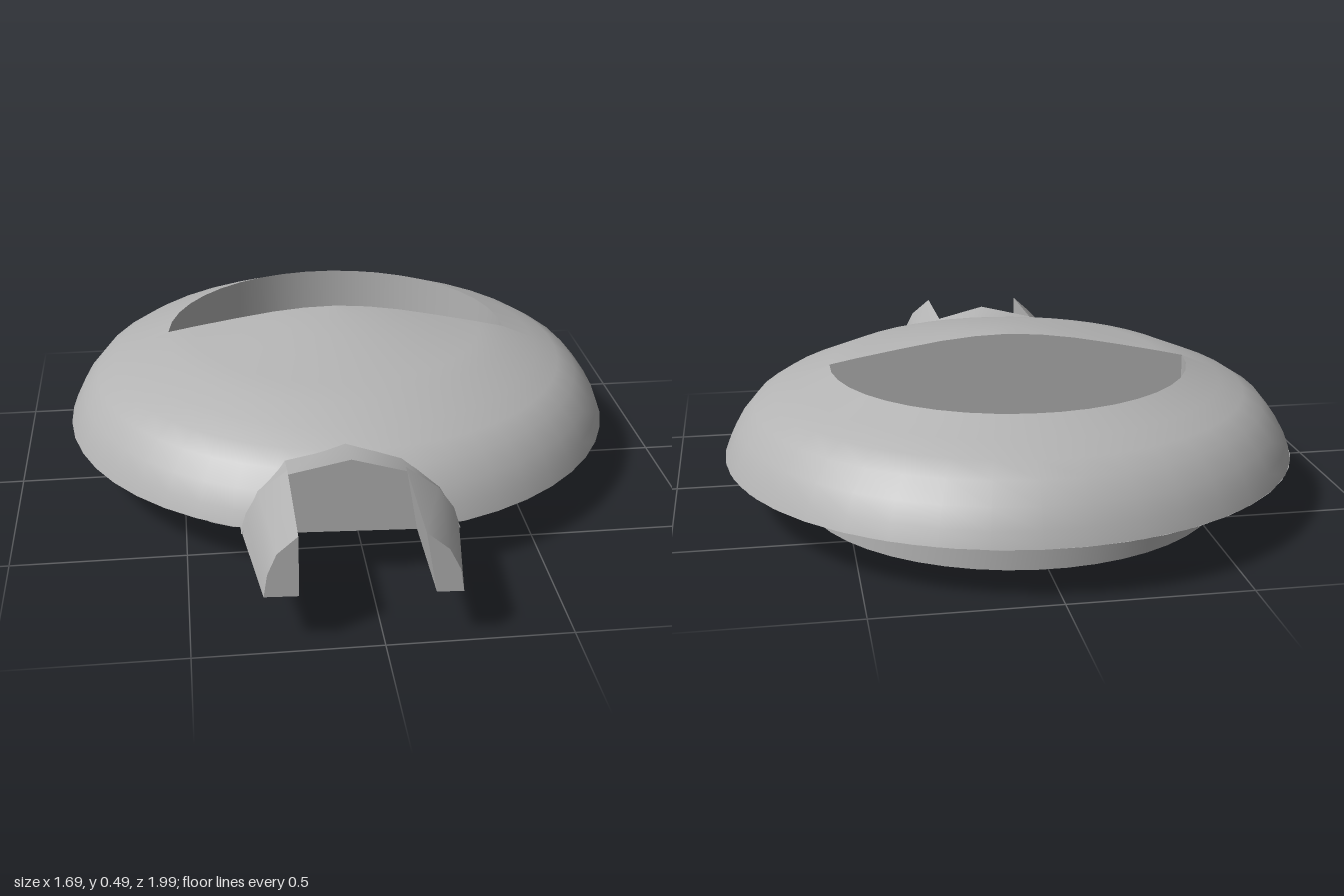
import * as THREE from 'three';
import { toCreasedNormals } from 'three/addons/utils/BufferGeometryUtils.js';

// Limit how far a geometry reaches forward, leaving a flat front
function clampFront(geo, limit) {
  const p = geo.attributes.position;
  for (let i = 0; i < p.count; i++) p.setZ(i, Math.min(p.getZ(i), limit));
  return geo;
}

// Closed solid between a back ring and a front ring (counter-clockwise from the front)
function loft(back, front) {
  const n = back.length, pos = [];
  const tri = (a, b, c) => pos.push(...a, ...b, ...c);
  for (let i = 0; i < n; i++) {
    const j = (i + 1) % n;
    tri(back[i], back[j], front[j]);
    tri(back[i], front[j], front[i]);
  }
  for (let i = 1; i < n - 1; i++) {
    tri(front[0], front[i], front[i + 1]);
    tri(back[0], back[i + 1], back[i]);
  }
  const geo = new THREE.BufferGeometry();
  geo.setAttribute('position', new THREE.Float32BufferAttribute(pos, 3));
  return toCreasedNormals(geo, 0.5);
}

// Cross-section placed at depth z, slightly skewed like the rest of the body
const ring = (pts, z) => pts.map(([x, y]) => [x, y, z + 0.055 * (x + 0.05)]);

export function createModel() {
  const model = new THREE.Group();
  const grey = new THREE.MeshStandardMaterial({ color: 0xb3b3b3, side: THREE.DoubleSide });
  grey.name = 'grey';
  const add = (parent, name, geo) => {
    const mesh = new THREE.Mesh(geo, grey);
    mesh.name = name;
    parent.add(mesh);
    return mesh;
  };

  // Round body, turned a little about its axis
  const body = new THREE.Group();
  body.name = 'body';
  body.position.z = -0.15;
  body.rotation.y = -0.066;
  model.add(body);

  const rim = 0.15, floor = 0.2, pocket = 0.53;
  const outer = [[0.845, rim], [0.828, 0.195], [0.8, 0.245], [0.755, 0.3], [0.7, 0.335],
    [0.63, 0.364], [pocket, 0.405]];
  const inner = [[0.45, 0.422], [0.32, 0.447], [0.2, 0.468], [0.1, 0.48], [0, 0.485]];
  const vec = (a) => a.map(([x, y]) => new THREE.Vector2(x, y));

  // Dome: full to the centre in front, open over the pocket at the back
  add(body, 'frontDome', clampFront(
    new THREE.LatheGeometry(vec([...outer, ...inner]), 24, -Math.PI / 2, Math.PI), 0.81));
  add(body, 'backDome', new THREE.LatheGeometry(vec(outer), 20, Math.PI / 2, Math.PI));
  const under = add(body, 'domeUnderside', clampFront(
    new THREE.CircleGeometry(0.845, 48).rotateX(Math.PI / 2), 0.81));
  under.position.y = rim;

  // Half-round pocket
  const wall = add(body, 'pocketCurvedWall', new THREE.CylinderGeometry(
    pocket, pocket, 0.405 - floor, 20, 1, true, Math.PI / 2, Math.PI));
  wall.position.y = (0.405 + floor) / 2;
  const base = add(body, 'pocketFloor',
    new THREE.CircleGeometry(pocket, 20, 0, Math.PI).rotateX(-Math.PI / 2));
  base.position.y = floor;
  const half = [[pocket, 0.405], ...inner];
  const chord = new THREE.Shape(vec([
    [-pocket, floor], [pocket, floor], ...half,
    ...half.slice(0, -1).reverse().map(([x, y]) => [-x, y]),
  ]));
  add(body, 'pocketStraightWall', new THREE.ShapeGeometry(chord).rotateY(Math.PI));

  // Plug below, cut flat at the front
  const plugGeo = clampFront(new THREE.CylinderGeometry(0.63, 0.63, rim, 48), 0.53);
  const plug = add(body, 'plug', toCreasedNormals(plugGeo.toNonIndexed(), 0.3));
  plug.position.set(-0.01, rim / 2, 0);

  // Arched collar at the front of the dome
  const arch = [[-0.35, rim], [0.25, rim], [0.2, 0.25], [0.1, 0.33], [-0.05, 0.37],
    [-0.22, 0.33], [-0.3, 0.25]];
  const archBack = arch.map(([x, y]) => [x, rim + (y - rim) * 0.83]);
  add(model, 'collar', loft(ring(archBack, 0.46), ring(arch, 0.67)));

  // Two prongs continuing the sides of the arch
  const leftRoot = [[0.13, rim], [0.25, rim], [0.235, 0.2], [0.19, 0.265], [0.1, 0.33]];
  const leftTip = [[0.13, rim], [0.2, rim], [0.19, 0.215], [0.16, 0.275], [0.1, 0.325]];
  const rightRoot = [[-0.35, rim], [-0.22, rim], [-0.22, 0.33], [-0.3, 0.265], [-0.335, 0.2]];
  const rightTip = [[-0.31, rim], [-0.22, rim], [-0.22, 0.325], [-0.275, 0.275], [-0.3, 0.215]];
  add(model, 'leftProng', loft(ring(leftRoot, 0.645), ring(leftTip, 0.985)));
  add(model, 'rightProng', loft(ring(rightRoot, 0.645), ring(rightTip, 0.985)));

  return model;
}
